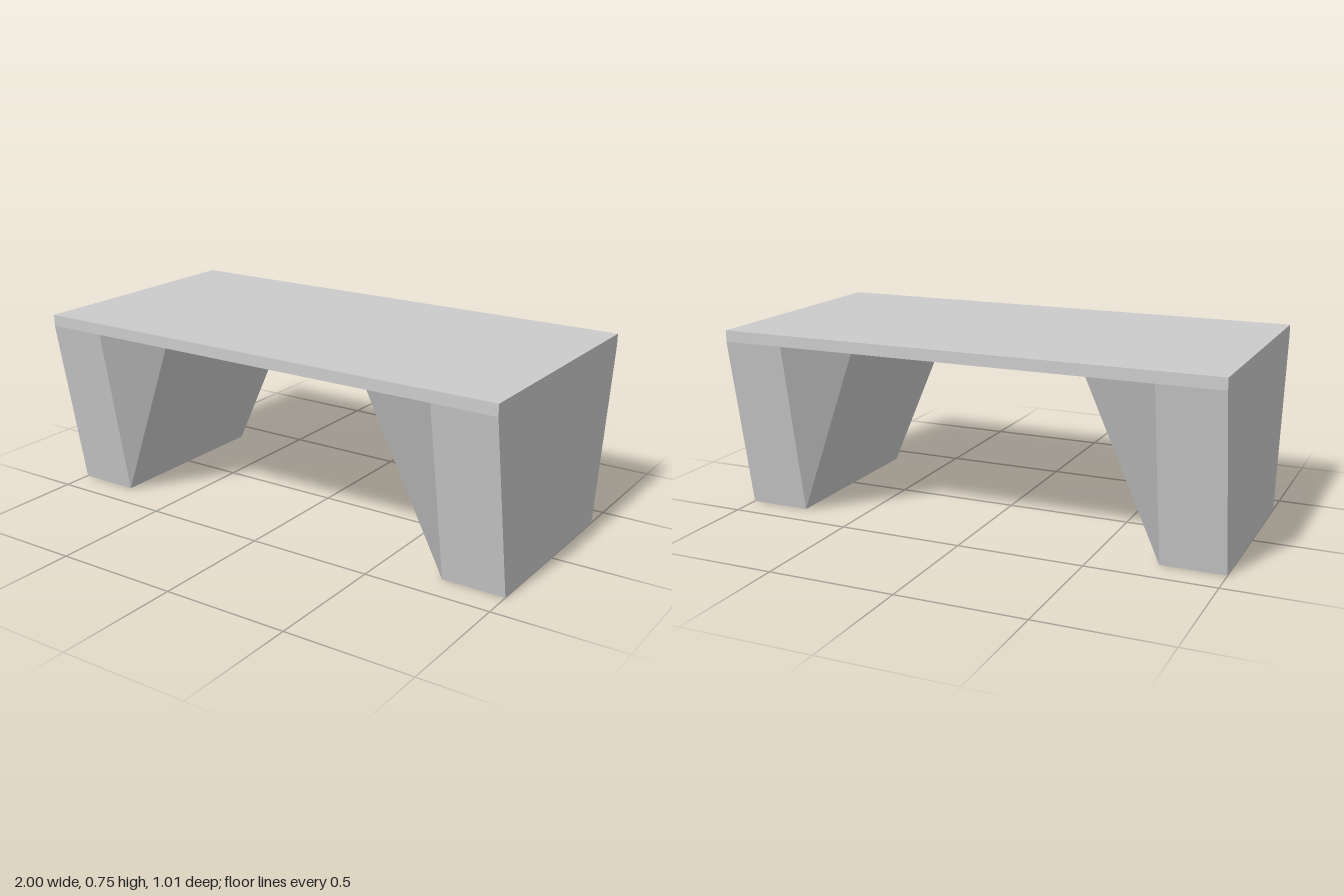
import * as THREE from 'three';

const H = 0.745, UNDER = 0.70;      // table height, underside of the top
const FOOT_Z = 0.38, TOP_Z = 0.505; // half depths at the floor and at the top
const FOOT_X = 0.75, TOP_X = 0.50;  // inner side of a leg at the floor and at the top

// Flat-shaded quads; each is split along its first diagonal and has one normal.
function quadGeometry(quads) {
  const pos = [], nor = [];
  for (const [a, b, c, d] of quads) {
    const n = c.clone().sub(a).cross(d.clone().sub(b)).normalize();
    for (const p of [a, b, c, a, c, d]) {
      pos.push(p.x, p.y, p.z);
      nor.push(n.x, n.y, n.z);
    }
  }
  const g = new THREE.BufferGeometry();
  g.setAttribute('position', new THREE.Float32BufferAttribute(pos, 3));
  g.setAttribute('normal', new THREE.Float32BufferAttribute(nor, 3));
  return g;
}

// Slab leg: vertical outer end, leaning inner face, sides flaring up to the top.
function legGeometry(sx) {
  const quads = [];
  const add = (sz, ...pts) => {
    const q = pts.map(([x, y, z]) => new THREE.Vector3(x * sx, y, z * sz));
    quads.push(sx * sz > 0 ? q : [q[0], q[3], q[2], q[1]]); // keep faces outward when mirrored
  };
  // outer end, inner slope, foot
  add(1, [1, 0, FOOT_Z], [1, 0, -FOOT_Z], [1, UNDER, -TOP_Z], [1, UNDER, TOP_Z]);
  add(1, [FOOT_X, 0, -FOOT_Z], [FOOT_X, 0, FOOT_Z], [TOP_X, UNDER, FOOT_Z], [TOP_X, UNDER, -FOOT_Z]);
  add(1, [FOOT_X, 0, -FOOT_Z], [1, 0, -FOOT_Z], [1, 0, FOOT_Z], [FOOT_X, 0, FOOT_Z]);
  // front and back: flared side and the bent corner beside the slope
  for (const sz of [1, -1]) {
    add(sz, [FOOT_X, 0, FOOT_Z], [1, 0, FOOT_Z], [1, UNDER, TOP_Z], [FOOT_X, UNDER, TOP_Z]);
    add(sz, [FOOT_X, 0, FOOT_Z], [FOOT_X, UNDER, TOP_Z], [TOP_X, UNDER, TOP_Z], [TOP_X, UNDER, FOOT_Z]);
  }
  return quadGeometry(quads);
}

export function createModel() {
  const model = new THREE.Group();
  model.name = 'table';
  const material = new THREE.MeshStandardMaterial({ color: 0xcccccc });
  const add = (name, geometry) => {
    const mesh = new THREE.Mesh(geometry, material);
    mesh.name = name;
    model.add(mesh);
    return mesh;
  };

  add('tableTop', new THREE.BoxGeometry(2, H - UNDER, 2 * TOP_Z)).position.y = (H + UNDER) / 2;
  add('leftLeg', legGeometry(1));
  add('rightLeg', legGeometry(-1));
  return model;
}
